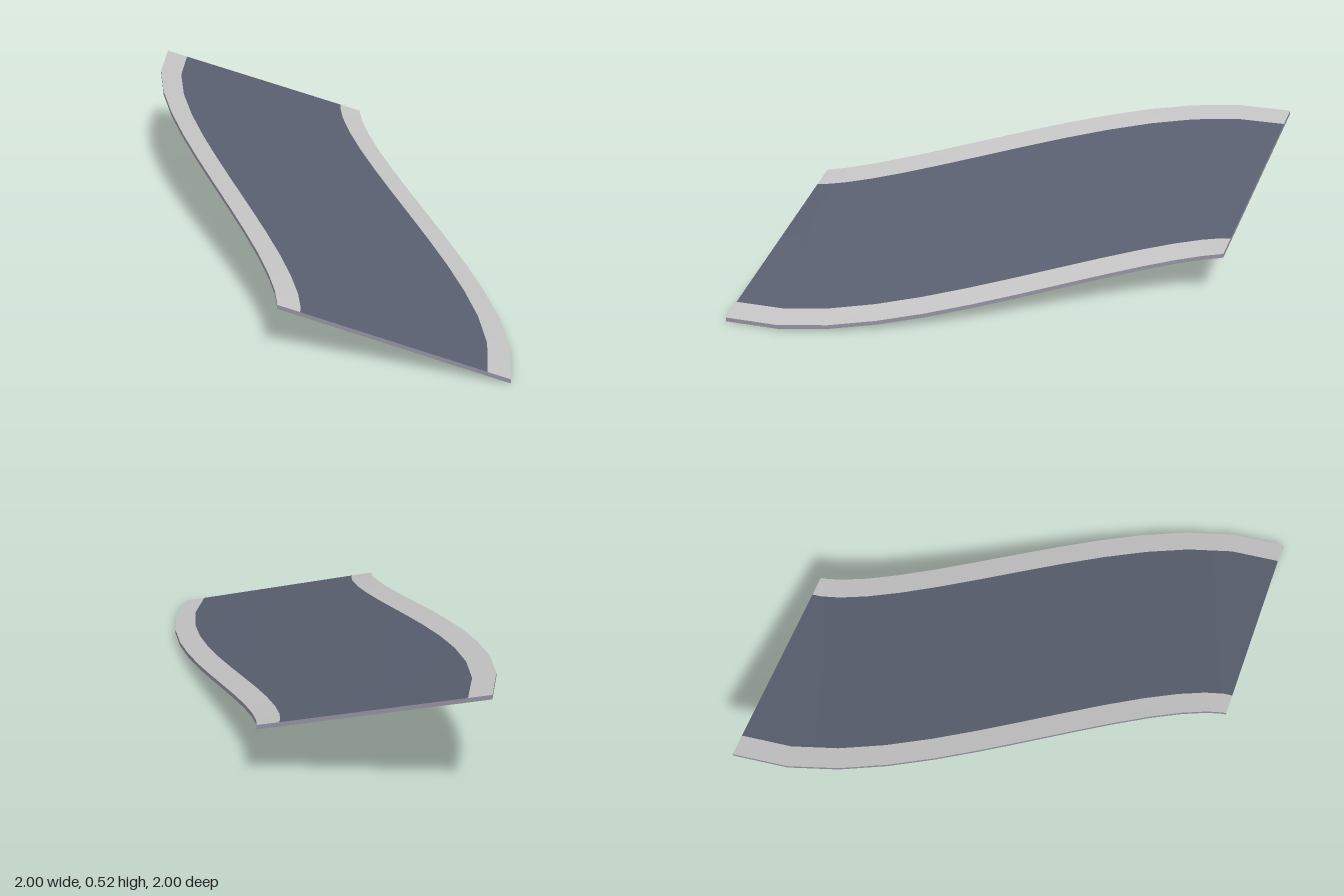
import * as THREE from 'three';

const SEGMENTS = 13;
const HALF = 0.5;        // half the road width
const KERB = 0.4;        // where the kerb starts, from the centre line
const THICK = 0.02;
const BANK = 0.25;       // sideways and lengthways drop

// S-shaped centre line, seen from above
const path = new THREE.CubicBezierCurve3(
  new THREE.Vector3(-0.5, 0, -1),
  new THREE.Vector3(-0.5, 0, -0.46),
  new THREE.Vector3(0.5, 0, 0.46),
  new THREE.Vector3(0.5, 0, 1),
);

// Point on the slab: t along the road, u across it, drop below the surface
function slabPoint(t, u, drop) {
  const c = path.getPoint(t);
  const d = path.getTangent(t);
  return [c.x + d.z * u, 0.27 - BANK * c.x - BANK * u - drop, c.z - d.x * u];
}

// Line of points running the length of the road
function rail(u, drop) {
  return Array.from({ length: SEGMENTS + 1 }, (_, i) => slabPoint(i / SEGMENTS, u, drop));
}

// Surface between two lines of points
function ribbon(name, a, b, material) {
  const index = [];
  for (let i = 0; i < a.length - 1; i++) {
    const j = i + a.length;
    index.push(i, i + 1, j, i + 1, j + 1, j);
  }
  const geometry = new THREE.BufferGeometry();
  geometry.setAttribute('position', new THREE.Float32BufferAttribute([...a, ...b].flat(), 3));
  geometry.setIndex(index);
  geometry.computeVertexNormals();
  const mesh = new THREE.Mesh(geometry, material);
  mesh.name = name;
  return mesh;
}

export function createModel() {
  const asphalt = new THREE.MeshStandardMaterial({ color: 0x585e6e });
  asphalt.name = 'asphalt';
  const kerb = new THREE.MeshStandardMaterial({ color: 0xc2c2c2 });
  kerb.name = 'kerb';
  const base = new THREE.MeshStandardMaterial({ color: 0x9491a0 });
  base.name = 'base';

  const road = new THREE.Group();
  road.name = 'bankedRoad';

  // Driving surface and its two kerbs
  road.add(
    ribbon('rightKerb', rail(-HALF, 0), rail(-KERB, 0), kerb),
    ribbon('roadSurface', rail(-KERB, 0), rail(KERB, 0), asphalt),
    ribbon('leftKerb', rail(KERB, 0), rail(HALF, 0), kerb),
  );

  // Slab sides and underside
  road.add(
    ribbon('leftSide', rail(HALF, 0), rail(HALF, THICK), base),
    ribbon('underside', rail(HALF, THICK), rail(-HALF, THICK), base),
    ribbon('rightSide', rail(-HALF, THICK), rail(-HALF, 0), base),
  );

  // Slab ends
  for (const [name, t, side] of [['frontEnd', 1, 1], ['backEnd', 0, -1]]) {
    const line = (drop) => [slabPoint(t, -HALF * side, drop), slabPoint(t, HALF * side, drop)];
    road.add(ribbon(name, line(THICK), line(0), base));
  }
  return road;
}
